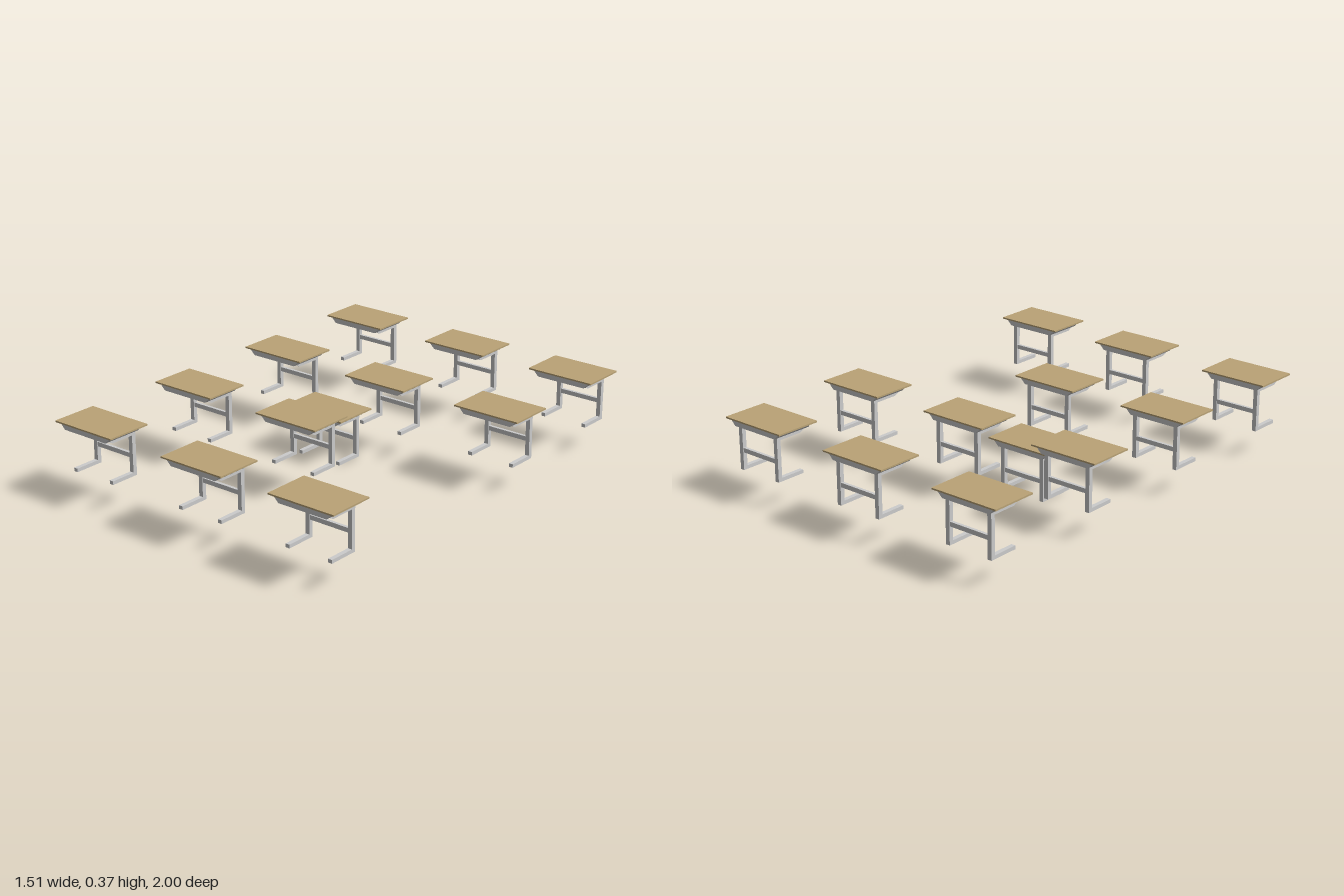
import * as THREE from 'three';

const metal = new THREE.MeshStandardMaterial({ color: 0xcccccc });
const wood = new THREE.MeshStandardMaterial({ color: 0xbaa376 });

// Extrude a closed outline, centred along its depth
function extrude(points, depth) {
  const shape = new THREE.Shape(points.map(([x, y]) => new THREE.Vector2(x, y)));
  const geometry = new THREE.ExtrudeGeometry(shape, { depth, bevelEnabled: false });
  return geometry.translate(0, 0, -depth / 2);
}

// Geometries shared by every desk
const boardGeometry = new THREE.BoxGeometry(0.327, 0.007, 0.216).translate(0, 0.2305, 0);
const trayGeometry = extrude([[-0.12, 0.199], [0.12, 0.199], [0.148, 0.227], [-0.148, 0.227]], 0.192);
// C-shaped side frame: foot, upright and chamfered bracket in one outline (z, y)
const frameGeometry = extrude([
  [0.06, 0], [0.06, 0.016], [-0.06, 0.016], [-0.06, 0.185],
  [0.052, 0.185], [0.08, 0.2], [-0.08, 0.2], [-0.08, 0],
], 0.02).rotateY(-Math.PI / 2);
const crossbarGeometry = new THREE.BoxGeometry(0.196, 0.02, 0.014).translate(0, 0.09, -0.07);

function createDesk() {
  const desk = new THREE.Group();
  const add = (name, geometry, material, x = 0) => {
    const mesh = new THREE.Mesh(geometry, material);
    mesh.name = name;
    mesh.position.x = x;
    desk.add(mesh);
  };
  add('deskTop', boardGeometry, wood);
  add('tray', trayGeometry, metal);
  add('leftLegFrame', frameGeometry, metal, 0.107);
  add('rightLegFrame', frameGeometry, metal, -0.107);
  add('crossbar', crossbarGeometry, metal);
  return desk;
}

export function createModel() {
  const classroom = new THREE.Group();
  classroom.name = 'classroomDesks';

  // Desk centres: x, y, z (one desk stands lower than the rest)
  const h = 0.131;
  const places = [
    [-0.595, h, -0.892], [0, h, -0.892], [0.583, h, -0.892],
    [-0.595, h, -0.299], [0, h, -0.299], [0.592, h, -0.31],
    [-0.19, 0, -0.1],
    [-0.595, h, 0.294], [-0.005, h, 0.294],
    [-0.595, h, 0.892], [0.018, h, 0.892], [0.588, h, 0.892],
  ];
  places.forEach((place, i) => {
    const desk = createDesk();
    desk.name = `desk${i + 1}`;
    desk.position.set(...place);
    classroom.add(desk);
  });
  return classroom;
}
